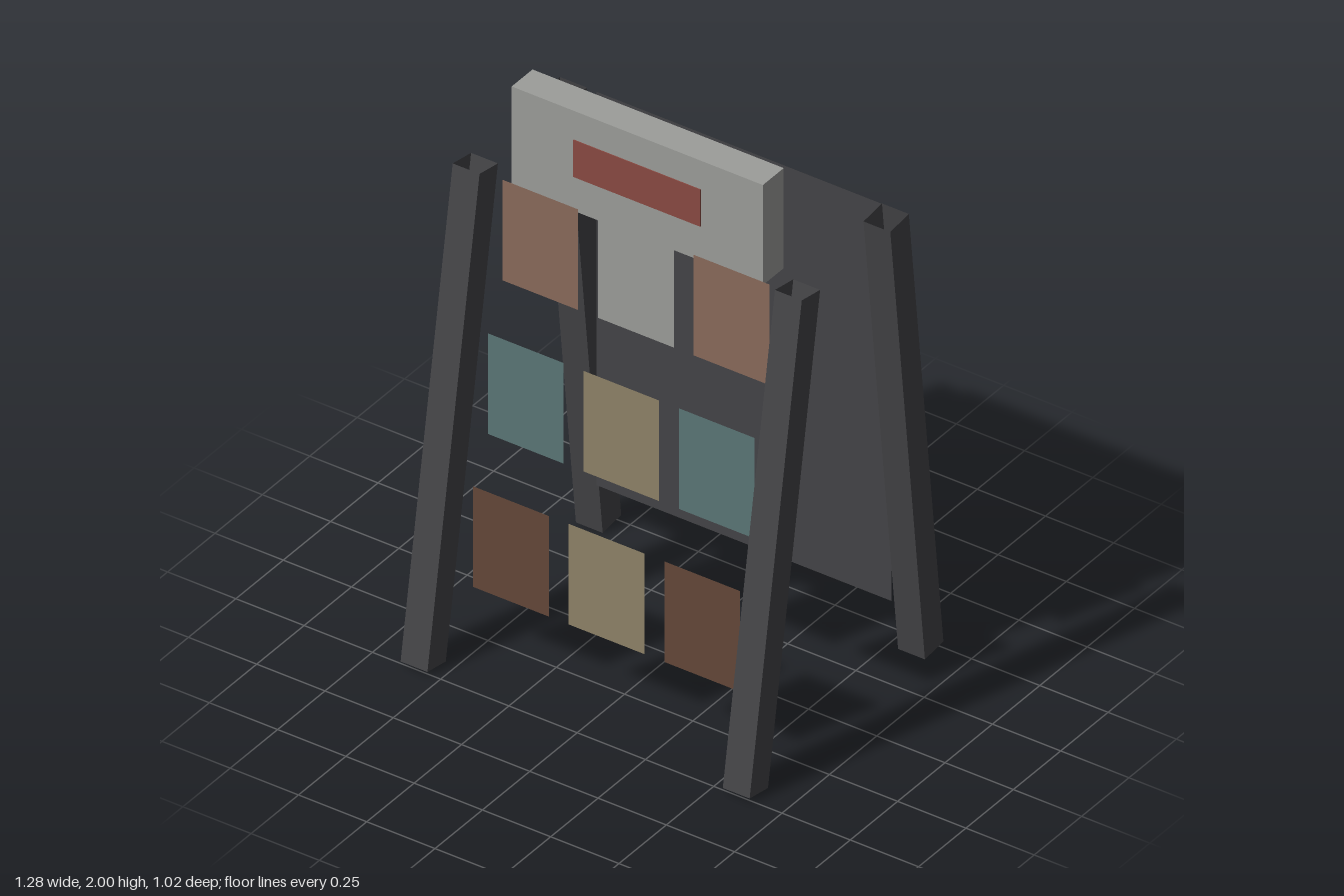
import * as THREE from 'three';

const mat = (name, color, extra = {}) =>
  Object.assign(new THREE.MeshStandardMaterial({ color, ...extra }), { name });

export function createModel() {
  const both = { side: THREE.DoubleSide };
  const frame = mat('charcoal', 0x444447, { ...both, flatShading: true });
  const grey = mat('light grey', 0x9c9d9a, both);
  const copper = mat('copper brown', 0x8a6a5b, both);
  const teal = mat('muted teal', 0x5b7777, both);
  const tan = mat('tan', 0x8f8368, both);
  const brown = mat('dark brown', 0x644839, both);
  const red = mat('brick red', 0x8a4a42);
  const under = mat('dark teal', 0x344444);

  const model = new THREE.Group();
  model.name = 'sandwichBoardStand';
  const add = (name, geometry, material, x, y, z) => {
    const mesh = new THREE.Mesh(geometry, material);
    mesh.name = name;
    mesh.position.set(x, y, z);
    model.add(mesh);
    return mesh;
  };

  // Leaning square tubes, open at both ends
  const addLegs = (name, zBottom, zTop) => {
    const rise = 1.662, run = zTop - zBottom;
    const tube = new THREE.CylinderGeometry(0.0695, 0.0695, Math.hypot(rise, run), 4, 1, true);
    tube.rotateY(Math.PI / 4);
    for (const side of [-1, 1]) {
      const leg = add(side > 0 ? name + 'Left' : name + 'Right', tube, frame,
        side * 0.59, 0.009 + rise / 2, (zBottom + zTop) / 2);
      leg.rotation.x = Math.atan2(run, rise);
    }
  };
  addLegs('frontLeg', 0.4625, 0.1875);
  addLegs('backLeg', -0.4625, -0.28);

  // Upright sheet between the back legs
  add('backPanel', new THREE.PlaneGeometry(1.08, 1.435), frame, 0, 0.9145, -0.38);

  // Three stepped rows of cards
  const card = new THREE.PlaneGeometry(0.277, 0.367);
  const rows = [
    { name: 'topCard', y: 1.469, z: 0.19, colors: [copper, grey, copper] },
    { name: 'middleCard', y: 0.953, z: 0.268, colors: [teal, tan, teal] },
    { name: 'bottomCard', y: 0.438, z: 0.345, colors: [brown, tan, brown] },
  ];
  for (const { name, y, z, colors } of rows) {
    colors.forEach((color, i) => add(name + (i + 1), card, color, (i - 1) * 0.35, y, z));
  }

  // Header board with a darker underside and a painted plate
  add('headerBoard', new THREE.BoxGeometry(0.92, 0.365, 0.11),
    [grey, grey, grey, under, grey, grey], 0, 1.8175, 0.128);
  add('headerPlate', new THREE.BoxGeometry(0.465, 0.135, 0.004), red, 0, 1.828, 0.184);

  return model;
}
